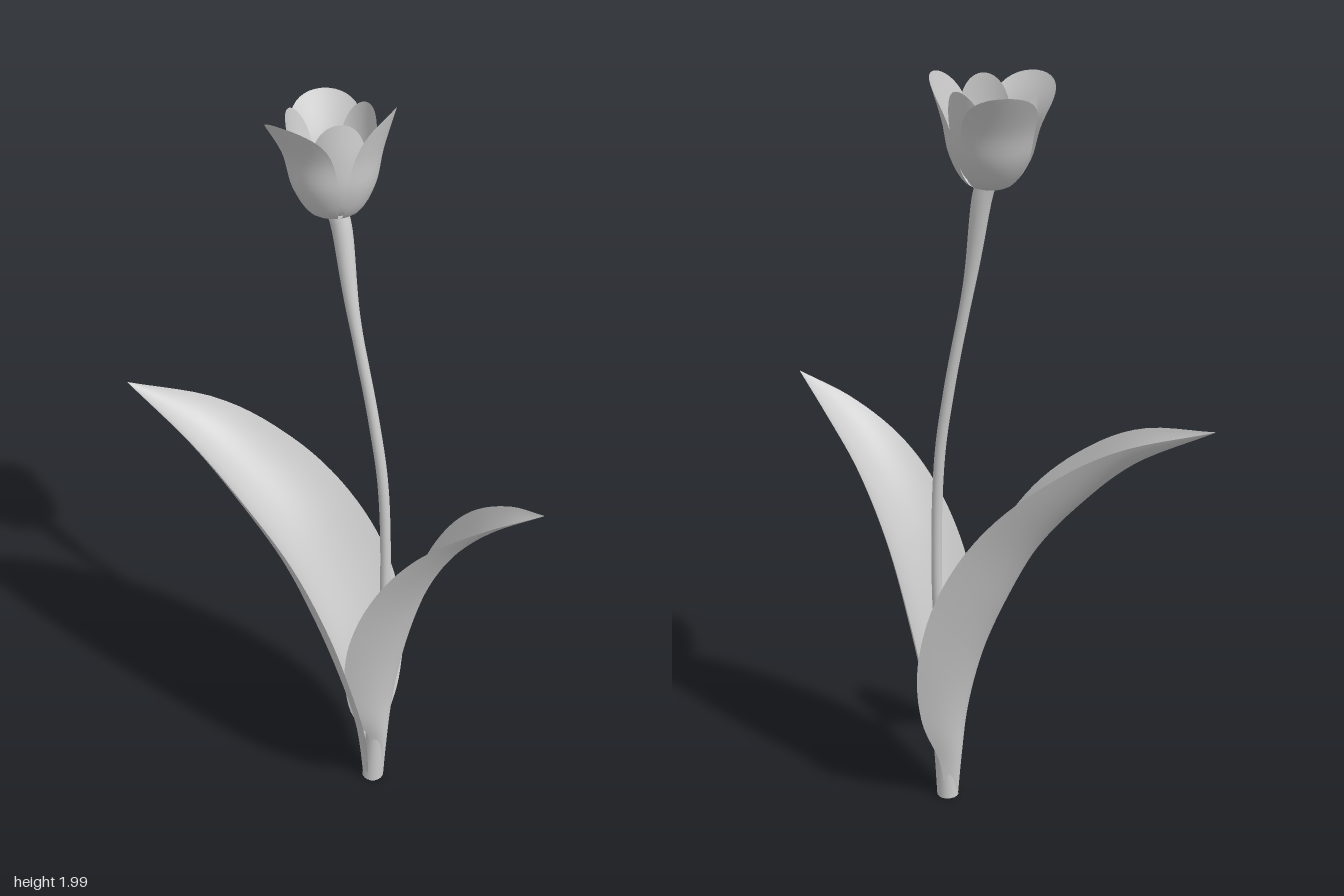
import * as THREE from 'three';

const V = (x, y, z) => new THREE.Vector3(x, y, z);
const spline = pts => new THREE.CatmullRomCurve3(pts.map(p => V(...p)), false, 'centripetal');

const grey = new THREE.MeshStandardMaterial({ color: 0xcccccc, side: THREE.DoubleSide });
grey.name = 'soft grey';

function mesh(geometry, name) {
  const m = new THREE.Mesh(geometry, grey);
  m.name = name;
  return m;
}

// Smooth sheet from fn(u in -1..1, v in 0..1) -> Vector3
function sheet(nu, nv, fn) {
  const pos = [], index = [];
  for (let j = 0; j <= nv; j++) {
    for (let i = 0; i <= nu; i++) pos.push(...fn(2 * i / nu - 1, j / nv).toArray());
  }
  for (let j = 0; j < nv; j++) {
    for (let i = 0; i < nu; i++) {
      const a = j * (nu + 1) + i, b = a + 1, c = a + nu + 1, d = c + 1;
      index.push(a, b, d, a, d, c);
    }
  }
  const g = new THREE.BufferGeometry();
  g.setAttribute('position', new THREE.Float32BufferAttribute(pos, 3));
  g.setIndex(index);
  g.computeVertexNormals();
  return g;
}

// Tube whose radius follows radiusAt(t)
function taperedTube(curve, segs, sides, radiusAt) {
  const g = new THREE.TubeGeometry(curve, segs, 1, sides);
  const p = g.attributes.position, n = g.attributes.normal;
  for (let i = 0; i < p.count; i++) {
    const t = Math.floor(i / (sides + 1)) / segs;
    const c = curve.getPointAt(t), r = radiusAt(t);
    p.setXYZ(i, c.x + n.getX(i) * r, c.y + n.getY(i) * r, c.z + n.getZ(i) * r);
  }
  return g;
}

// Channelled leaf. Stations: [distance outward, height, half width, channel depth]
function leaf(name, base, angle, stations) {
  const mid = spline(stations.map(s => [s[0], s[1], 0]));
  const size = spline(stations.map(s => [s[2], s[3], s[1]]));
  const out = V(Math.cos(angle), 0, Math.sin(angle));
  const side = V(-out.z, 0, out.x);
  const geo = sheet(20, 48, (u, v) => {
    const c = mid.getPoint(v), t = mid.getTangent(v), s = size.getPoint(v);
    const w = Math.max(s.x, 0), d = Math.max(s.y, 0) * u * u;
    return base.clone()
      .addScaledVector(out, c.x - t.y * d)
      .addScaledVector(side, w * u)
      .add(V(0, c.y + t.x * d, 0));
  });
  return mesh(geo, name);
}

// Cupped petal wrapped around the flower axis
function petal(name, angle, profile, spread) {
  const curve = spline(profile.map(p => [p[0], p[1], 0]));
  const geo = sheet(16, 24, (u, t) => {
    const v = Math.sin(t * Math.PI / 2);
    const p = curve.getPoint(v);
    const a = angle + u * spread * Math.sqrt(Math.max(0, 1 - v ** 5));
    return V(Math.cos(a) * p.x, p.y, Math.sin(a) * p.x);
  });
  return mesh(geo, name);
}

function createFlower() {
  const flower = new THREE.Group();
  flower.name = 'flower';
  const rad = THREE.MathUtils.degToRad;
  const inner = [[0.003, 0.004], [0.048, 0.016], [0.084, 0.075], [0.099, 0.15], [0.106, 0.245]];
  // Angle, tip reach and tip height of the front, back and side outer petals
  [[102, 0.167, 0.25], [227, 0.155, 0.257], [343, 0.15, 0.259]].forEach(([angle, reach, height], i) => {
    const outer = [[0.004, 0], [0.055, 0.012], [0.096, 0.075], [0.117, 0.16], [reach, height]];
    flower.add(petal('outerPetal', rad(angle), outer, 0.95));
    flower.add(petal('innerPetal', rad(165 + 120 * i), inner, 0.82));
  });

  // Pistil and six stamens
  const pistil = mesh(new THREE.CylinderGeometry(0.008, 0.011, 0.09, 12), 'pistil');
  pistil.position.y = 0.05;
  flower.add(pistil);
  for (let i = 0; i < 6; i++) {
    const a = i * Math.PI / 3 + 0.2, c = Math.cos(a), s = Math.sin(a);
    const path = spline([[c * 0.008, 0.008, s * 0.008], [c * 0.03, 0.045, s * 0.03], [c * 0.048, 0.1, s * 0.048]]);
    flower.add(mesh(taperedTube(path, 12, 8, t => t < 0.6 ? 0.0025 : 0.001 + 0.005 * Math.sin(Math.PI * (t - 0.6) / 0.4)), 'stamen'));
  }

  flower.position.set(-0.053, 1.725, -0.057);
  flower.quaternion.setFromUnitVectors(V(0, 1, 0), V(-0.11, 1, -0.1).normalize());
  return flower;
}

export function createModel() {
  const model = new THREE.Group();
  model.name = 'tulip';

  // Stem, thick at the foot and flared under the flower
  const path = spline([
    [0.112, 0, -0.003], [0.118, 0.3, -0.012], [0.123, 0.65, -0.032], [0.105, 1, -0.042],
    [0.073, 1.2, -0.042], [0.008, 1.5, -0.042], [-0.035, 1.7, -0.058], [-0.047, 1.738, -0.058],
  ]);
  const smooth = THREE.MathUtils.smoothstep;
  model.add(mesh(taperedTube(path, 72, 16,
    t => 0.029 - 0.015 * smooth(t, 0.02, 0.28) + 0.011 * smooth(t, 0.8, 1)), 'stem'));
  const foot = mesh(new THREE.CircleGeometry(0.029, 16), 'stemFoot');
  foot.rotation.x = Math.PI / 2;
  foot.position.set(0.112, 0, -0.003);
  model.add(foot);

  // Two arching leaves
  model.add(leaf('leftLeaf', V(0.112, 0, -0.012), 0.02, [
    [0.028, 0, 0.018, 0.015], [0.037, 0.15, 0.03, 0.03], [0.043, 0.32, 0.102, 0.06],
    [0.083, 0.55, 0.146, 0.08], [0.148, 0.76, 0.142, 0.074], [0.238, 0.93, 0.115, 0.056],
    [0.348, 1.06, 0.067, 0.025], [0.47, 1.156, 0, 0],
  ]));
  model.add(leaf('rightLeaf', V(0.112, 0, -0.001), Math.PI - 0.18, [
    [0.028, 0, 0.022, 0.025], [0.038, 0.12, 0.048, 0.043], [0.053, 0.27, 0.12, 0.08],
    [0.094, 0.44, 0.172, 0.11], [0.165, 0.615, 0.188, 0.13], [0.256, 0.785, 0.177, 0.122],
    [0.378, 0.93, 0.15, 0.1], [0.51, 1.05, 0.1, 0.062], [0.71, 1.156, 0, 0],
  ]));

  model.add(createFlower());
  return model;
}
